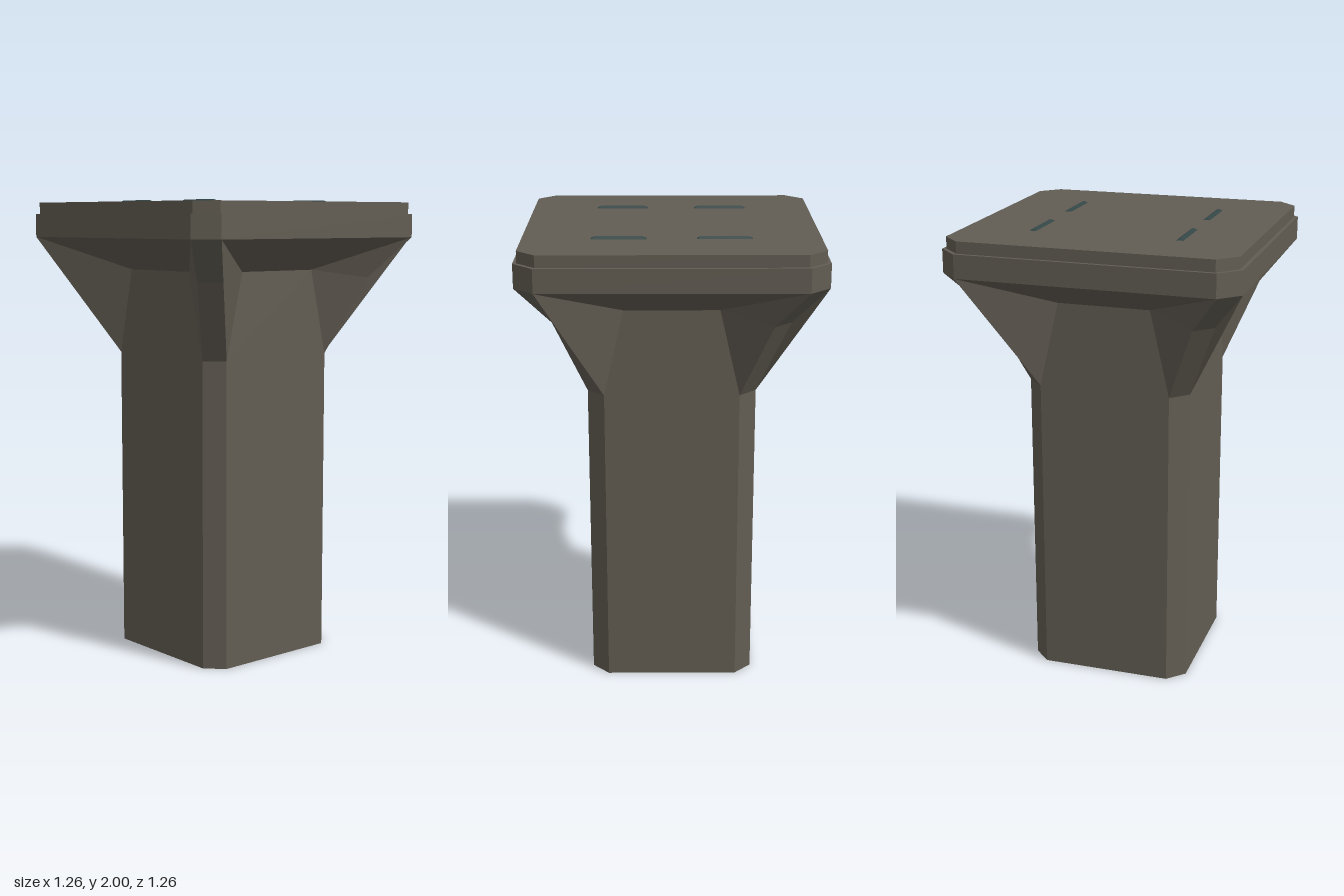
import * as THREE from 'three';

// Collects flat polygons, each copied around the four sides of the pillar
function fourSided(polygons) {
  const pos = [];
  for (let k = 0; k < 4; k++) {
    const turn = new THREE.Matrix4().makeRotationY(k * Math.PI / 2);
    for (const poly of polygons) {
      const p = poly.map((c) => new THREE.Vector3(...c).applyMatrix4(turn));
      for (let i = 1; i < p.length - 1; i++) {
        for (const v of [p[0], p[i], p[i + 1]]) pos.push(v.x, v.y, v.z);
      }
    }
  }
  const g = new THREE.BufferGeometry();
  g.setAttribute('position', new THREE.Float32BufferAttribute(pos, 3));
  g.computeVertexNormals();
  return g;
}

// Chamfered-square ring: r = half width, f = half length of the straight side
const ring = (r, f, y) => ({ r, f, y });
const cornerBand = (a, b) => [
  [a.f, a.y, a.r], [a.r, a.y, a.f], [b.r, b.y, b.f], [b.f, b.y, b.r],
];
const sideBand = (a, b) => [
  [-a.f, a.y, a.r], [a.f, a.y, a.r], [b.f, b.y, b.r], [-b.f, b.y, b.r],
];

export function createModel() {
  const stone = new THREE.MeshStandardMaterial({ color: 0x625d53, side: THREE.DoubleSide });
  stone.name = 'warm grey stone';
  const slotMat = new THREE.MeshStandardMaterial({ color: 0x324444 });
  slotMat.name = 'dark teal';

  const model = new THREE.Group();
  model.name = 'pillar';
  const add = (name, geometry, material) => {
    const mesh = new THREE.Mesh(geometry, material);
    mesh.name = name;
    model.add(mesh);
    return mesh;
  };

  const foot = ring(0.357, 0.285, 0);
  const neck = ring(0.357, 0.285, 1.33);
  const elbow = ring(0.49, 0.415, 1.665);
  const rim = ring(0.628, 0.543, 1.84);
  const inner = [0.2, 1.7, 0.357]; // where the side panel narrows under the cap
  const mirror = ([x, y, z]) => [-x, y, z];

  // Shaft, open at the bottom
  add('shaft', fourSided([
    sideBand(foot, neck),
    cornerBand(foot, neck),
    [[-neck.f, neck.y, neck.r], [neck.f, neck.y, neck.r], inner, mirror(inner)],
  ]), stone);

  // Flared corner brackets and the sloping underside of the cap
  const web = [
    inner, [neck.f, neck.y, neck.r], [elbow.f, elbow.y, elbow.r], [rim.f, rim.y, rim.r],
  ];
  add('flare', fourSided([
    cornerBand(neck, elbow),
    cornerBand(elbow, rim),
    web,
    web.map(mirror).reverse(),
    [mirror(inner), inner, [rim.f, rim.y, rim.r], [-rim.f, rim.y, rim.r]],
  ]), stone);

  // Stepped cap
  const steps = [
    rim, ring(0.628, 0.543, 1.94), ring(0.612, 0.535, 1.94), ring(0.612, 0.535, 1.99),
  ];
  const capFaces = [];
  for (let i = 0; i < steps.length - 1; i++) {
    capFaces.push(sideBand(steps[i], steps[i + 1]), cornerBand(steps[i], steps[i + 1]));
  }
  const t = steps[3];
  capFaces.push([[0, t.y, 0], [-t.f, t.y, t.r], [t.f, t.y, t.r], [t.r, t.y, t.f]]);
  add('cap', fourSided(capFaces), stone);

  // Four small hipped ridges on top
  const ridge = new THREE.BoxGeometry(0.234, 0.012, 0.036);
  const p = ridge.attributes.position;
  for (let i = 0; i < p.count; i++) {
    if (p.getY(i) > 0) p.setXYZ(i, Math.sign(p.getX(i)) * 0.096, p.getY(i), 0);
  }
  const ridgeFlat = ridge.toNonIndexed();
  ridgeFlat.computeVertexNormals();
  for (const x of [-0.216, 0.216]) {
    for (const z of [-0.315, 0.315]) {
      add('topRidge', ridgeFlat, slotMat).position.set(x, 1.994, z);
    }
  }
  return model;
}
